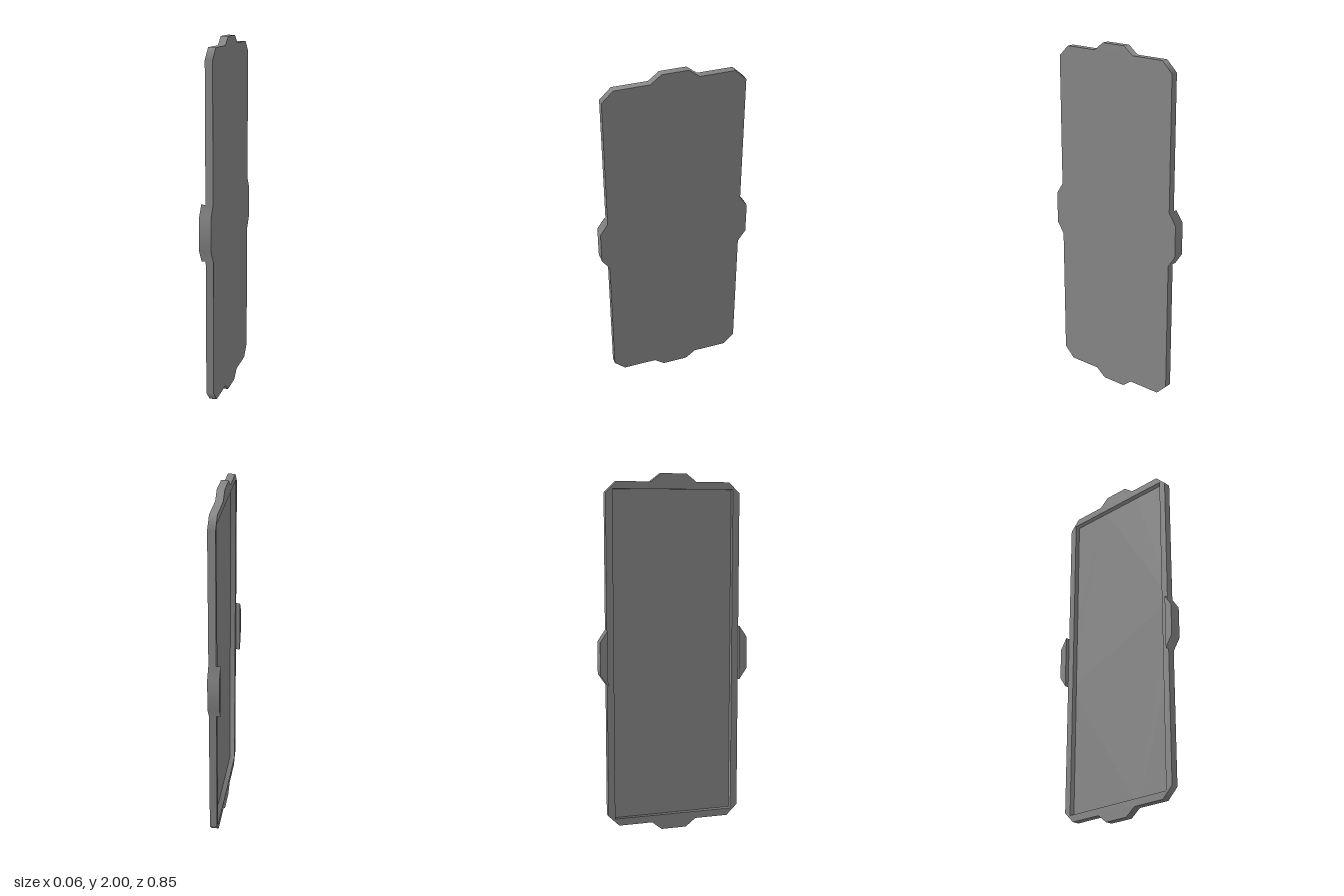
import * as THREE from 'three';

const material = new THREE.MeshStandardMaterial({ color: 0x888888 });
const BACK = -0.009, FLOOR = 0.02, FACE = 0.032, TAB_BACK = -0.032;

// Extrudes a (width, height) outline along x, from x0 to x1.
function slab(name, outline, x0, x1, hole) {
  const shape = new THREE.Shape(outline);
  if (hole) shape.holes.push(new THREE.Path(hole));
  const geometry = new THREE.ExtrudeGeometry(shape, { depth: x1 - x0, bevelEnabled: false });
  geometry.rotateY(Math.PI / 2).translate(x0, 0, 0);
  const mesh = new THREE.Mesh(geometry, material);
  mesh.name = name;
  return mesh;
}

// Smooths the rims around their outlines, weighted by area; the broad faces stay flat.
function smoothRims(meshes) {
  const corners = new Map();
  for (const { geometry } of meshes) {
    const { position, normal } = geometry.attributes;
    const { start, count } = geometry.groups[1];
    for (let i = start; i < start + count; i += 3) {
      const [a, b, c] = [0, 1, 2].map((k) => new THREE.Vector3().fromBufferAttribute(position, i + k));
      const area = new THREE.Triangle(a, b, c).getArea();
      const flat = new THREE.Vector3().fromBufferAttribute(normal, i);
      [a, b, c].forEach((p, k) => {
        const key = `${p.y.toFixed(3)},${p.z.toFixed(3)}`;
        if (!corners.has(key)) corners.set(key, []);
        corners.get(key).push({ normal, index: i + k, flat, area });
      });
    }
  }
  for (const corner of corners.values()) {
    for (const { normal, index, flat } of corner) {
      const sum = new THREE.Vector3();
      for (const other of corner) {
        if (other.flat.dot(flat) > -0.1) sum.addScaledVector(other.flat, other.area);
      }
      sum.normalize();
      normal.setXYZ(index, sum.x, sum.y, sum.z);
    }
  }
}

export function createModel() {
  const group = new THREE.Group();
  group.name = 'panel';

  // One quarter of the outline about the panel centre, from the side tab to the top tab
  const quarter = [[0.427, 0.09], [0.384, 0.153], [0.384, 0.895], [0.322, 0.955], [0.13, 0.955], [0.072, 1]];
  const mirrored = [...quarter].reverse();
  const outline = [
    ...quarter,
    ...mirrored.map(([u, v]) => [-u, v]),
    ...quarter.map(([u, v]) => [-u, -v]),
    ...mirrored.map(([u, v]) => [u, -v]),
  ].map(([u, v]) => new THREE.Vector2(u, v + 1));

  // Rectangular recess in the back
  const recess = [[-0.345, -0.915], [-0.345, 0.915], [0.345, 0.915], [0.345, -0.915]]
    .map(([u, v]) => new THREE.Vector2(u, v + 1));

  group.add(slab('frontPlate', outline, FLOOR, FACE));
  group.add(slab('backFrame', outline, BACK, FLOOR, recess));

  // Thicker grips on both long edges
  for (const side of [-1, 1]) {
    const grip = [[0.384, -0.153], [0.427, -0.09], [0.427, 0.09], [0.384, 0.153]]
      .map(([u, v]) => new THREE.Vector2(side * u, v + 1));
    group.add(slab(side < 0 ? 'leftGrip' : 'rightGrip', grip, TAB_BACK, BACK));
  }

  smoothRims(group.children);
  return group;
}
